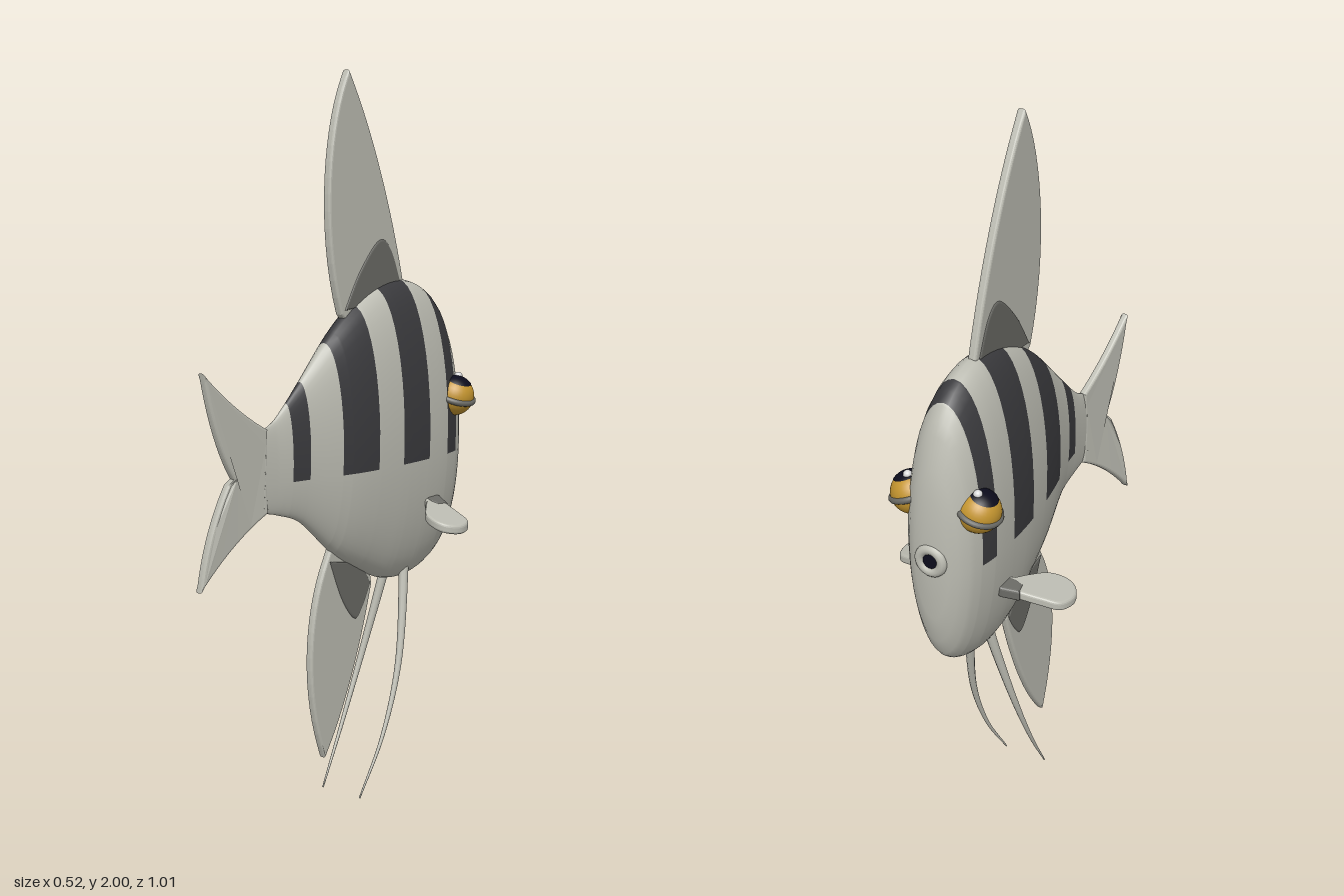
import * as THREE from 'three';

const mat = (name, color) => {
  const m = new THREE.MeshStandardMaterial({ color });
  m.name = name;
  return m;
};

// Body profile, nose to tail: z, top y, bottom y, half width, sideways bend
const PROFILE = [
  [-0.496, 1.0, 0.98, 0.002, 0], [-0.495, 1.05, 0.9, 0.025, 0], [-0.49, 1.14, 0.79, 0.05, 0],
  [-0.478, 1.22, 0.712, 0.072, 0], [-0.455, 1.3, 0.66, 0.09, 0], [-0.42, 1.368, 0.625, 0.104, 0],
  [-0.36, 1.413, 0.597, 0.114, 0], [-0.28, 1.436, 0.583, 0.115, 0], [-0.18, 1.428, 0.597, 0.11, 0],
  [-0.07, 1.388, 0.65, 0.097, 0], [0.03, 1.32, 0.71, 0.077, -0.002], [0.16, 1.195, 0.82, 0.038, -0.011],
  [0.25, 1.11, 0.855, 0.018, -0.019], [0.3, 1.085, 0.868, 0.01, -0.022],
];
const STRIPES = [[-0.415, -0.36], [-0.27, -0.155], [-0.058, 0.063], [0.158, 0.21]];
const STRIPE_BOTTOM = 0.94;

// Smooth interpolation of one profile column at z
function profileAt(z, k) {
  const P = PROFILE, n = P.length - 1;
  let i = 0;
  while (i < n - 1 && z > P[i + 1][0]) i++;
  const slope = (j) => {
    const a = P[Math.max(0, j - 1)], b = P[Math.min(n, j + 1)];
    return (b[k] - a[k]) / (b[0] - a[0]);
  };
  const d = P[i + 1][0] - P[i][0], t = (z - P[i][0]) / d, t2 = t * t, t3 = t2 * t;
  return (2 * t3 - 3 * t2 + 1) * P[i][k] + (t3 - 2 * t2 + t) * d * slope(i)
    + (3 * t2 - 2 * t3) * P[i + 1][k] + (t3 - t2) * d * slope(i + 1);
}

// Lofted ellipses; each ring has a corner at the height where stripes end
function bodyGeometry() {
  const stations = new Set(PROFILE.map((p) => p[0]));
  STRIPES.flat().forEach((z) => stations.add(z));
  for (let z = -0.44; z < 0.29; z += 0.025) stations.add(z);
  const zs = [...stations].sort((a, b) => a - b);
  const half = 24, ring = half * 2, pos = [], light = [], dark = [];
  for (const z of zs) {
    const top = profileAt(z, 1), bottom = profileAt(z, 2), w = profileAt(z, 3), cx = profileAt(z, 4);
    const c = (top + bottom) / 2, h = (top - bottom) / 2;
    const a0 = Math.asin(THREE.MathUtils.clamp((STRIPE_BOTTOM - c) / h, -0.8, 0.8));
    for (let j = 0; j < ring; j++) {
      const a = j < half ? a0 + (Math.PI - 2 * a0) * j / half
        : Math.PI - a0 + (Math.PI + 2 * a0) * (j - half) / half;
      pos.push(cx + w * Math.cos(a), c + h * Math.sin(a), z);
    }
  }
  for (let i = 0; i < zs.length - 1; i++) {
    const mid = (zs[i] + zs[i + 1]) / 2;
    const striped = STRIPES.some(([a, b]) => mid > a && mid < b);
    for (let j = 0; j < ring; j++) {
      const a = i * ring + j, b = i * ring + (j + 1) % ring;
      (striped && j < half ? dark : light).push(a, b, b + ring, a, b + ring, a + ring);
    }
  }
  const g = new THREE.BufferGeometry();
  g.setAttribute('position', new THREE.Float32BufferAttribute(pos, 3));
  g.setIndex([...light, ...dark]);
  g.addGroup(0, light.length, 0);
  g.addGroup(light.length, dark.length, 1);
  g.computeVertexNormals();
  return g;
}

const smoothShape = (pts) => {
  const s = new THREE.Shape();
  s.moveTo(...pts[0]);
  s.splineThru(pts.slice(1).map((p) => new THREE.Vector2(...p)));
  return s;
};

// Centred slab with rounded rim
function slab(shape, thick) {
  const bevel = Math.min(0.007, thick / 3);
  const g = new THREE.ExtrudeGeometry(shape, {
    depth: thick - 2 * bevel, bevelThickness: bevel, bevelSize: bevel, bevelOffset: -bevel,
    bevelSegments: 3, curveSegments: 16,
  });
  return g.translate(0, 0, -(thick - 2 * bevel) / 2);
}

// Upright fin drawn in (z, y), shifted sideways by bend(y, z)
function uprightFin(shape, thick, bend) {
  const g = slab(shape, thick).rotateY(-Math.PI / 2), p = g.attributes.position;
  for (let i = 0; i < p.count; i++) p.setX(i, p.getX(i) + bend(p.getY(i), p.getZ(i)));
  g.computeVertexNormals();
  return g;
}

export function createModel() {
  const model = new THREE.Group();
  model.name = 'fish';
  const skin = mat('pale skin', 0xbcbcb2), stripe = mat('dark stripe', 0x3a3a3d);
  const shade = mat('fin base grey', 0x6a6a65), gold = mat('gold eye', 0xc4952f);
  const black = mat('pupil', 0x0c0c1c), shine = mat('eye shine', 0xd8d8d8);
  const add = (name, geo, material, parent = model) => {
    const m = new THREE.Mesh(geo, material);
    m.name = name;
    parent.add(m);
    return m;
  };

  add('body', bodyGeometry(), [skin, stripe]);

  // Dorsal and anal fins with a grey patch at the base
  const dorsalBend = (y) => -0.003 - 0.02 * (y - 1.4);
  const dorsal = new THREE.Shape();
  dorsal.moveTo(-0.27, 1.38);
  dorsal.lineTo(-0.285, 1.435);
  dorsal.bezierCurveTo(-0.25, 1.58, -0.17, 1.82, -0.05, 2);
  dorsal.bezierCurveTo(0.04, 1.87, 0.085, 1.6, 0, 1.36);
  dorsal.lineTo(-0.04, 1.32);
  add('dorsalFin', uprightFin(dorsal, 0.024, dorsalBend), skin);
  const dorsalBase = smoothShape([[-0.01, 1.37], [-0.08, 1.47], [-0.17, 1.55], [-0.225, 1.525], [-0.27, 1.43]]);
  dorsalBase.lineTo(-0.2, 1.38);
  add('dorsalFinBase', uprightFin(dorsalBase, 0.03, dorsalBend), shade);

  const analBend = () => -0.011;
  const anal = new THREE.Shape();
  anal.moveTo(0.02, 0.75);
  anal.lineTo(0.05, 0.695);
  anal.bezierCurveTo(0.14, 0.55, 0.15, 0.33, 0.063, 0.13);
  anal.bezierCurveTo(-0.02, 0.23, -0.1, 0.4, -0.153, 0.585);
  anal.lineTo(-0.14, 0.66);
  add('analFin', uprightFin(anal, 0.022, analBend), skin);
  const analBase = smoothShape([[0.045, 0.69], [-0.01, 0.57], [-0.07, 0.5], [-0.11, 0.53], [-0.145, 0.59]]);
  analBase.lineTo(-0.1, 0.66);
  add('analFinBase', uprightFin(analBase, 0.028, analBend), shade);

  // Forked tail, bent to one side
  const tail = new THREE.Shape();
  tail.moveTo(0.287, 1.088);
  tail.quadraticCurveTo(0.4, 1.15, 0.503, 1.255);
  tail.quadraticCurveTo(0.47, 1.08, 0.405, 0.975);
  tail.quadraticCurveTo(0.48, 0.85, 0.503, 0.693);
  tail.quadraticCurveTo(0.4, 0.81, 0.287, 0.868);
  tail.quadraticCurveTo(0.295, 0.98, 0.287, 1.088);
  add('tailFin', uprightFin(tail, 0.022, (y, z) => -0.021 - (z - 0.29) * (y < 0.97 ? 0.2 : 0.11)), skin);

  // Mouth ring on the nose
  add('lips', new THREE.TorusGeometry(0.032, 0.014, 12, 32).translate(0, 0.967, -0.492), skin);
  add('mouthOpening', new THREE.CircleGeometry(0.025, 24).rotateY(Math.PI).translate(0, 0.967, -0.499), black);

  for (const s of [1, -1]) {
    const side = s > 0 ? 'left' : 'right';

    // Eye: ball, lid ring, upward-looking pupil and shine
    const eye = new THREE.Group();
    eye.name = side + 'Eye';
    eye.position.set(s * 0.097, 1.1, -0.416);
    eye.rotation.z = -s * 0.34;
    model.add(eye);
    add('eyeball', new THREE.SphereGeometry(0.057, 32, 20), gold, eye);
    add('eyelidRing', new THREE.TorusGeometry(0.055, 0.009, 10, 40).rotateX(Math.PI / 2), shade, eye);
    add('pupil', new THREE.SphereGeometry(0.0585, 28, 8, 0, Math.PI * 2, 0, 0.68), black, eye);
    add('eyeShine', new THREE.SphereGeometry(0.012, 16, 12).translate(-s * 0.014, 0.053, -0.013), shine, eye);

    // Pectoral fin drawn in (x, z), drooping outward
    const flat = (shape, thick) => {
      const g = slab(shape, thick).rotateX(Math.PI / 2), p = g.attributes.position;
      for (let i = 0; i < p.count; i++) p.setY(i, p.getY(i) + 0.808 - 0.27 * (Math.abs(p.getX(i)) - 0.11));
      g.computeVertexNormals();
      return g;
    };
    const fin = smoothShape([[0.14, -0.31], [0.2, -0.288], [0.247, -0.265], [0.262, -0.215], [0.245, -0.175],
      [0.21, -0.161], [0.165, -0.178], [0.13, -0.225], [0.11, -0.26]].map(([x, z]) => [s * x, z]));
    fin.lineTo(s * 0.07, -0.29);
    fin.lineTo(s * 0.07, -0.33);
    fin.lineTo(s * 0.11, -0.326);
    add(side + 'PectoralFin', flat(fin, 0.026), skin);
    const root = new THREE.Shape([[0.08, -0.335], [0.11, -0.33], [0.15, -0.309], [0.143, -0.275], [0.12, -0.27],
      [0.08, -0.28]].map(([x, z]) => new THREE.Vector2(s * x, z)));
    add(side + 'PectoralFinRoot', flat(root, 0.031), shade);

    // Long tapering feeler under the belly
    const path = new THREE.CatmullRomCurve3([[0.025, 0.66, -0.27], [0.035, 0.59, -0.257], [0.066, 0.35, -0.19],
      [0.073, 0.16, -0.105], [0.065, 0.004, -0.008]].map(([x, y, z]) => new THREE.Vector3(s * x, y, z)));
    const rows = 40, sides = 10;
    const feeler = new THREE.TubeGeometry(path, rows, 0.015, sides), p = feeler.attributes.position;
    const v = new THREE.Vector3();
    for (let i = 0; i < p.count; i++) {
      const t = Math.floor(i / (sides + 1)) / rows, c = path.getPointAt(t);
      v.fromBufferAttribute(p, i).sub(c).multiplyScalar(1 - 0.85 * t).add(c);
      p.setXYZ(i, v.x, v.y, v.z);
    }
    add(side + 'Feeler', feeler, skin);
  }
  return model;
}
